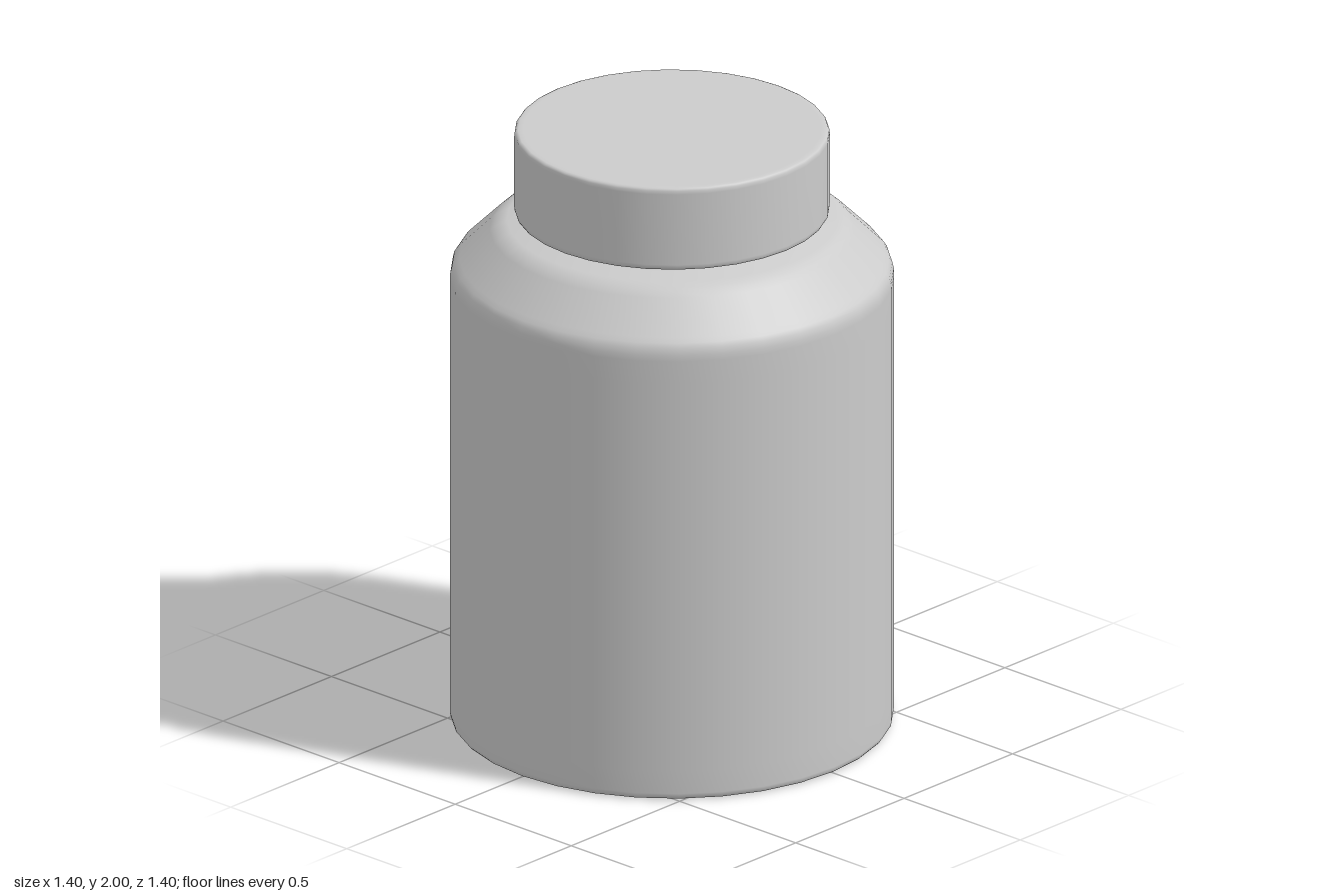
import * as THREE from 'three';

const SEGMENTS = 32;
const material = new THREE.MeshStandardMaterial({ color: 0xcccccc });

// Revolves a bottom-to-top profile of [radius, height] pairs
function turned(name, profile) {
  const points = profile.map(([r, y]) => new THREE.Vector2(r, y));
  const mesh = new THREE.Mesh(new THREE.LatheGeometry(points, SEGMENTS), material);
  mesh.name = name;
  return mesh;
}

export function createModel() {
  const group = new THREE.Group();
  group.name = 'jar';

  // Body: flat base, straight wall, rounded sloping shoulder and short neck
  group.add(turned('body', [
    [0, 0], [0.68, 0], [0.692, 0.003], [0.698, 0.01], [0.7, 0.022],
    [0.7, 0.1], [0.7, 1.42], [0.7, 1.495], [0.699, 1.515], [0.694, 1.536], [0.684, 1.551], [0.67, 1.565],
    [0.575, 1.66], [0.56, 1.673], [0.543, 1.683], [0.52, 1.693],
    [0.455, 1.703], [0.446, 1.708], [0.443, 1.716], [0.443, 1.76], [0, 1.76],
  ]));

  // Lid: plain disc with finely softened rims
  group.add(turned('lid', [
    [0, 1.721], [0.485, 1.721], [0.492, 1.723], [0.496, 1.73], [0.497, 1.74],
    [0.497, 1.98], [0.496, 1.991], [0.492, 1.997], [0.485, 2], [0.47, 2], [0, 2],
  ]));

  return group;
}
